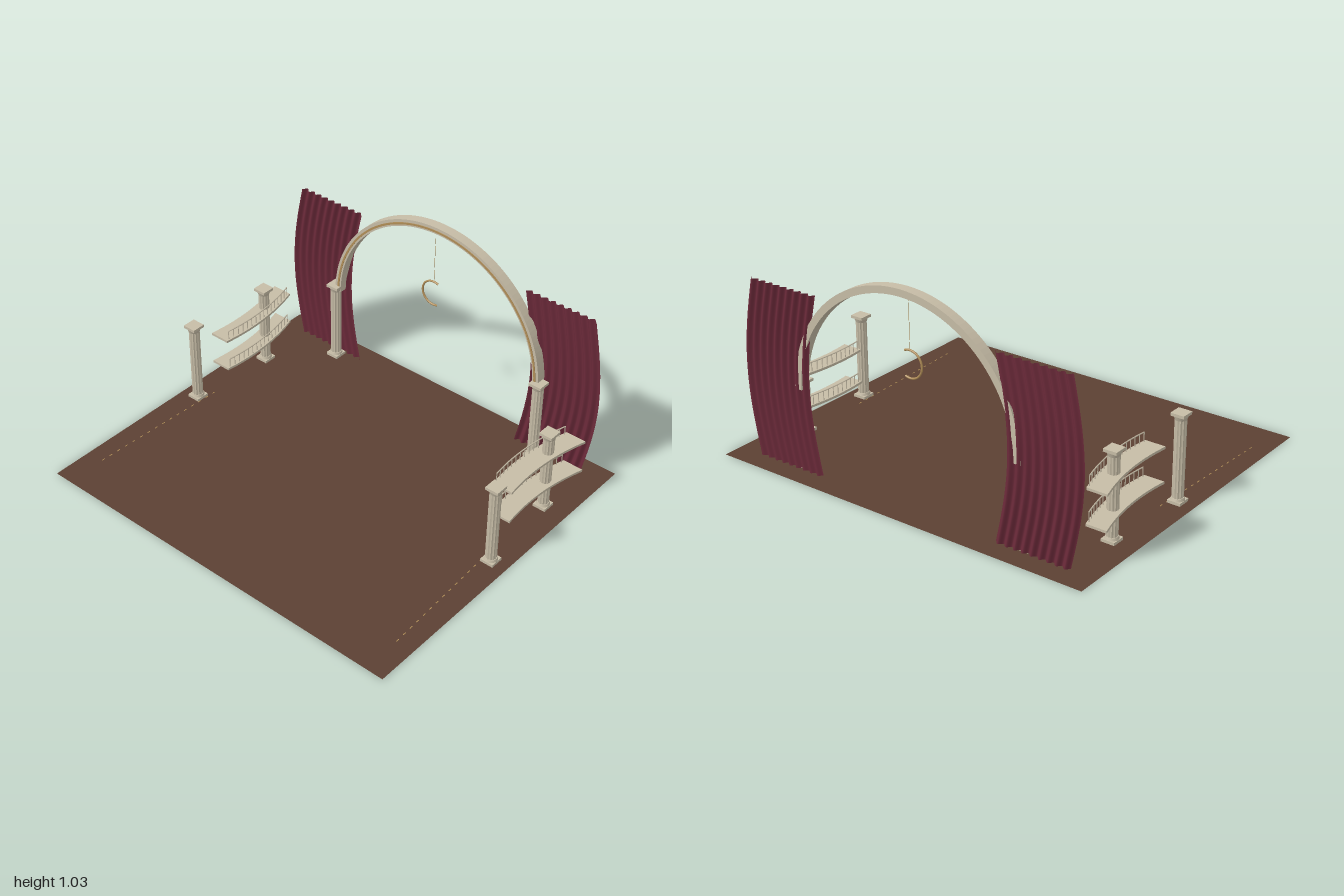
import * as THREE from 'three';

const mat = (name, color, side = THREE.FrontSide) => {
  const m = new THREE.MeshStandardMaterial({ color, side });
  m.name = name;
  return m;
};

export function createModel() {
  const stone = mat('pale stone', 0xc6bca6);
  const wood = mat('brown floor', 0x5c4033, THREE.DoubleSide);
  const velvet = mat('wine velvet', 0x6c2a3a, THREE.DoubleSide);
  const brass = mat('brass', 0xb08d57);

  const model = new THREE.Group();
  model.name = 'stage';
  const add = (parent, name, geo, material, x = 0, y = 0, z = 0) => {
    const m = new THREE.Mesh(geo, material);
    m.name = name;
    m.position.set(x, y, z);
    parent.add(m);
    return m;
  };

  // Stage floor
  const floorGeo = new THREE.PlaneGeometry(2, 1.726).rotateX(-Math.PI / 2);
  add(model, 'floor', floorGeo, wood, 0, 0.003, 0);

  // Fluted column: scalloped shaft between round mouldings and square slabs
  const flute = new THREE.Shape();
  const N = 72;
  for (let i = 0; i < N; i++) {
    const a = (i / N) * Math.PI * 2;
    const r = 0.0275 - 0.003 * Math.abs(Math.sin(a * 6));
    flute[i ? 'lineTo' : 'moveTo'](Math.cos(a) * r, Math.sin(a) * r);
  }
  const shaftGeo = new THREE.ExtrudeGeometry(flute, { depth: 0.38, bevelEnabled: false }).rotateX(-Math.PI / 2);
  const slabGeo = new THREE.BoxGeometry(0.068, 0.014, 0.068);
  const baseRing = new THREE.CylinderGeometry(0.029, 0.033, 0.012, 24);
  const capRing = new THREE.CylinderGeometry(0.034, 0.027, 0.02, 24);
  function column(name, x, z) {
    const g = new THREE.Group();
    g.name = name;
    g.position.set(x, 0, z);
    add(g, 'columnBase', slabGeo, stone, 0, 0.012, 0);
    add(g, 'baseMoulding', baseRing, stone, 0, 0.025, 0);
    add(g, 'columnShaft', shaftGeo, stone, 0, 0.028, 0);
    add(g, 'columnCapital', capRing, stone, 0, 0.416, 0);
    add(g, 'capitalSlab', slabGeo, stone, 0, 0.433, 0);
    model.add(g);
  }

  // Great arch with a brass band on its face
  const band = (outer, inner) => {
    const s = new THREE.Shape();
    s.absarc(0, 0, outer, 0, Math.PI, false);
    s.absarc(0, 0, inner, Math.PI, 0, true);
    s.closePath();
    return s;
  };
  const archGeo = new THREE.ExtrudeGeometry(band(0.622, 0.588), { depth: 0.05, bevelEnabled: false, curveSegments: 36 });
  add(model, 'arch', archGeo, stone, 0, 0.407, -0.765);
  const trimGeo = new THREE.ExtrudeGeometry(band(0.607, 0.597), { depth: 0.003, bevelEnabled: false, curveSegments: 36 });
  add(model, 'archTrim', trimGeo, brass, 0, 0.407, -0.715);

  // Open ring hanging from a thin cord
  const gap = 1.15;
  const ringGeo = new THREE.TorusGeometry(0.065, 0.005, 8, 40, Math.PI * 2 - gap * 2).rotateZ(gap);
  add(model, 'hangingCrescent', ringGeo, brass, 0, 0.671, -0.707);
  add(model, 'hangingCord', new THREE.CylinderGeometry(0.001, 0.001, 0.24, 5), brass, 0, 0.858, -0.707);

  // Pleated curtain, bowed outward at mid height
  function curtain(s) {
    const h = 0.872, w = 0.384;
    const geo = new THREE.PlaneGeometry(w, h, 90, 16);
    const p = geo.attributes.position;
    for (let i = 0; i < p.count; i++) {
      const x = p.getX(i), t = p.getY(i) / h + 0.5;
      const wave = Math.cos((x / w + 0.5) * Math.PI * 2 * 9);
      p.setX(i, x + s * 0.06 * Math.sin(Math.PI * t));
      p.setZ(i, 0.009 * wave);
    }
    geo.computeVertexNormals();
    add(model, s > 0 ? 'leftCurtain' : 'rightCurtain', geo, velvet, s * 0.68, 0.008 + h / 2, -0.763);
  }

  // Curved balcony: inner edge distance from the centre line at depth z
  const edge = (z) => 0.8 + 0.45 * (z + 0.28) ** 2;
  function balcony(s, y) {
    const g = new THREE.Group();
    g.name = s > 0 ? 'leftBalcony' : 'rightBalcony';
    const z0 = -0.628, z1 = -0.122, n = 16;
    const shape = new THREE.Shape();
    for (let i = 0; i <= n; i++) {
      const z = z0 + ((z1 - z0) * i) / n;
      shape[i ? 'lineTo' : 'moveTo'](s * edge(z), z);
    }
    for (let i = n; i >= 0; i--) {
      const z = z0 + ((z1 - z0) * i) / n;
      shape.lineTo(s * (edge(z) + 0.104), z);
    }
    shape.closePath();
    const deck = new THREE.ExtrudeGeometry(shape, { depth: 0.012, bevelEnabled: false }).rotateX(Math.PI / 2);
    add(g, 'balconyDeck', deck, stone, 0, y, 0);

    // Railing along the inner edge
    const post = new THREE.CylinderGeometry(0.0022, 0.0022, 0.048, 6);
    const pts = [];
    for (let i = 0; i < 16; i++) {
      const z = -0.608 + (0.468 * i) / 15;
      pts.push(new THREE.Vector3(s * (edge(z) + 0.008), y + 0.046, z));
      add(g, 'baluster', post, stone, pts[i].x, y + 0.023, z);
    }
    const rail = new THREE.TubeGeometry(new THREE.CatmullRomCurve3(pts), 30, 0.0032, 6);
    add(g, 'handrail', rail, stone);
    model.add(g);
  }

  // Dashed brass line inlaid along each side of the floor
  function floorDashes(s) {
    const geo = new THREE.BoxGeometry(0.004, 0.003, 0.016);
    for (let i = 0; i < 16; i++) {
      const t = i / 15;
      add(model, 'floorDash', geo, brass, s * (0.872 + 0.036 * t), 0.0035, -0.07 + 0.72 * t);
    }
  }

  for (const s of [1, -1]) {
    const side = s > 0 ? 'left' : 'right';
    column(side + 'ArchColumn', s * 0.622, -0.72);
    column(side + 'BalconyColumn', s * 0.872, -0.455);
    column(side + 'FrontColumn', s * 0.912, 0);
    curtain(s);
    balcony(s, 0.157);
    balcony(s, 0.325);
    floorDashes(s);
  }
  return model;
}
